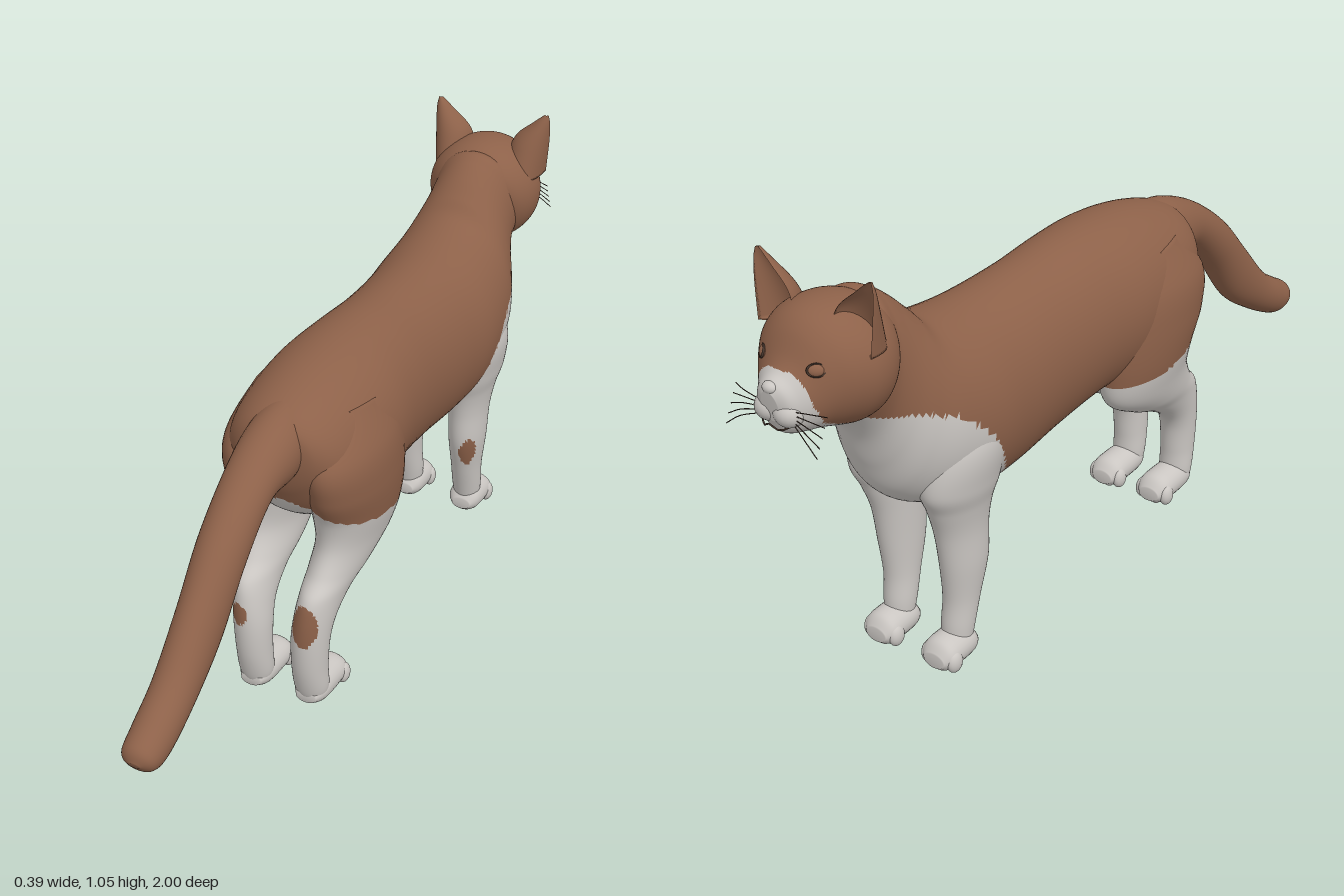
import * as THREE from 'three';

const mat = (name, color) => {
  const m = new THREE.MeshStandardMaterial({ color });
  m.name = name;
  return m;
};
const brown = mat('brown fur', 0x8d6149);
const white = mat('white fur', 0xcac6c2);
const dark = mat('dark lines', 0x45352c);

// Height under which the coat is white, as [z, y] steps from nose to rump
const coatLine = [[-1, .87], [-.955, .865], [-.945, .8], [-.92, .755], [-.88, .735], [-.8, .705],
  [-.7, .69], [-.62, .665], [-.55, .61], [-.5, .55], [-.46, .48], [-.43, .43], [-.2, .455],
  [-.1, .465], [0, .45], [.1, .455], [.2, .475], [.35, .49], [1.1, .49]];
// Brown spots on the legs: centre and radii
const spots = [[.078, .255, .4, .034, .055, .045], [-.088, .24, .4, .022, .028, .04],
  [.125, .215, -.475, .035, .058, .028], [-.125, .21, -.475, .035, .052, .028]];

function isBrown(x, y, z) {
  const k = Math.max(1, coatLine.findIndex(p => p[0] > z));
  const [a, b] = [coatLine[k - 1], coatLine[k]];
  let limit = a[1] + (b[1] - a[1]) * (z - a[0]) / (b[0] - a[0]);
  if (z > .2) limit += .07 * (1 - Math.abs(x) / .19) * Math.min(1, (z - .2) / .1);
  return y > limit ||
    spots.some(s => ((x - s[0]) / s[3]) ** 2 + ((y - s[1]) / s[4]) ** 2 + ((z - s[2]) / s[5]) ** 2 < 1);
}

// Loft through oval rings. Each row is [z1, y1, z2, y2, halfWidth, x]: the two
// opposite profile points of the ring, its half width and its sideways centre.
function loft(name, rows, { side = 1, seg = 40, sub = 8, dent = false, coat = isBrown } = {}) {
  const at = (i, c) => rows[Math.min(rows.length - 1, Math.max(0, i))][c] || 0;
  const smooth = (i, t, c) => {
    const p0 = at(i - 1, c), p1 = at(i, c), p2 = at(i + 1, c), p3 = at(i + 2, c);
    return p1 + .5 * t * (p2 - p0 + t * (2 * p0 - 5 * p1 + 4 * p2 - p3 + t * (3 * (p1 - p2) + p3 - p0)));
  };
  const pos = [], rings = (rows.length - 1) * sub;
  for (let j = 0; j <= rings; j++) {
    const i = Math.min(Math.floor(j / sub), rows.length - 2), t = j / sub - i;
    const [z1, y1, z2, y2, w, x] = [0, 1, 2, 3, 4, 5].map(c => smooth(i, t, c));
    for (let k = 0; k < seg; k++) {
      const a = k / seg * Math.PI * 2;
      let s = Math.sin(a);
      if (dent) s = s < 0 ? 1 + 2 * s : 1 - 1.4 * s;
      pos.push(x * side + Math.max(w, .001) * Math.cos(a),
        (y1 + y2) / 2 + (y1 - y2) / 2 * s, (z1 + z2) / 2 + (z1 - z2) / 2 * s);
    }
  }
  const faces = [[], []];
  const add = (...f) => {
    const c = [0, 1, 2].map(d => f.reduce((sum, v) => sum + pos[v * 3 + d], 0) / 3);
    faces[coat(...c) ? 0 : 1].push(...f);
  };
  for (let j = 0; j < rings; j++) {
    for (let k = 0; k < seg; k++) {
      const n = (k + 1) % seg, a = j * seg + k, b = j * seg + n;
      add(a, a + seg, b + seg);
      add(a, b + seg, b);
    }
  }
  // Closed ends
  const first = pos.length / 3;
  for (const j of [0, rings]) {
    const mid = [0, 1, 2].map(d => {
      let sum = 0;
      for (let k = 0; k < seg; k++) sum += pos[(j * seg + k) * 3 + d];
      return sum / seg;
    });
    pos.push(...mid);
  }
  for (let k = 0; k < seg; k++) {
    const n = (k + 1) % seg;
    add(first, k, n);
    add(first + 1, rings * seg + n, rings * seg + k);
  }
  const g = new THREE.BufferGeometry();
  g.setAttribute('position', new THREE.Float32BufferAttribute(pos, 3));
  g.setIndex([...faces[0], ...faces[1]]);
  g.addGroup(0, faces[0].length, 0);
  g.addGroup(faces[0].length, faces[1].length, 1);
  g.computeVertexNormals();
  const mesh = new THREE.Mesh(g, [brown, white]);
  mesh.name = name;
  return mesh;
}

function ball(name, material, x, y, z, rx, ry, rz) {
  const m = new THREE.Mesh(new THREE.SphereGeometry(1, 20, 14), material);
  m.name = name;
  m.position.set(x, y, z);
  m.scale.set(rx, ry, rz);
  return m;
}

function line(name, points, radius) {
  const curve = new THREE.CatmullRomCurve3(points.map(p => new THREE.Vector3(...p)));
  const m = new THREE.Mesh(new THREE.TubeGeometry(curve, 10, radius, 5), dark);
  m.name = name;
  return m;
}

const torso = [[.385, .72, .38, .64, .04], [.37, .77, .36, .58, .1], [.31, .8, .31, .5, .145],
  [.2, .825, .2, .44, .17], [.08, .835, .08, .42, .177], [-.05, .833, -.05, .41, .166],
  [-.2, .82, -.2, .39, .16], [-.36, .813, -.36, .37, .168], [-.48, .818, -.48, .375, .178],
  [-.575, .84, -.62, .41, .168], [-.62, .88, -.7, .47, .145], [-.66, .918, -.735, .55, .124],
  [-.7, .947, -.76, .63, .113], [-.74, .96, -.8, .69, .113], [-.8, .93, -.84, .72, .09]];
const head = [[-.69, .9, -.74, .76, .07], [-.72, .94, -.76, .72, .115], [-.77, .966, -.79, .7, .14],
  [-.83, .972, -.83, .7, .146], [-.88, .962, -.87, .71, .13], [-.915, .935, -.9, .718, .107],
  [-.945, .885, -.93, .722, .08], [-.965, .862, -.955, .727, .06], [-.985, .848, -.972, .74, .043],
  [-.995, .832, -.984, .765, .022]];
const tail = [[.998, .305, .99, .288, .014], [.985, .335, .965, .262, .04], [.93, .367, .915, .262, .048],
  [.85, .42, .8, .32, .05], [.74, .535, .69, .395, .053], [.63, .645, .585, .525, .057],
  [.5, .735, .475, .618, .06], [.38, .785, .38, .62, .07], [.28, .8, .3, .64, .06]];
const ear = [[-.85, 1.045, -.842, 1.045, .005, .146], [-.852, 1.02, -.828, 1.02, .022, .134],
  [-.856, .97, -.8, .965, .047, .108], [-.86, .89, -.77, .88, .053, .096]];
const hindLeg = [[.03, .74, .27, .76, .05, .09], [0, .66, .36, .66, .084, .1], [-.01, .57, .355, .57, .09, .103],
  [-.008, .47, .32, .49, .085, .1], [.015, .39, .315, .42, .07, .097], [.1, .335, .345, .36, .06, .09],
  [.19, .295, .385, .32, .05, .085], [.265, .25, .4, .27, .046, .08], [.3, .2, .405, .2, .045, .075],
  [.31, .12, .4, .12, .043, .073], [.31, .06, .385, .05, .042, .073], [.32, .02, .37, .015, .03, .073]];
const frontLeg = [[-.61, .66, -.44, .68, .05, .085], [-.65, .56, -.42, .56, .07, .105],
  [-.665, .47, -.435, .46, .066, .1], [-.64, .41, -.455, .4, .056, .094], [-.615, .34, -.465, .34, .05, .09],
  [-.6, .25, -.47, .25, .047, .09], [-.59, .16, -.495, .16, .04, .087], [-.595, .09, -.515, .09, .038, .085],
  [-.595, .04, -.53, .035, .033, .085]];
// Paw rings from heel to toe, measured from the toe tip
const paw = [[.15, .05, .15, .02, .025], [.12, .08, .12, .004, .042], [.06, .082, .06, 0, .046],
  [.022, .074, .022, .002, .044], [0, .05, 0, .015, .028]];

export function createModel() {
  const cat = new THREE.Group();
  cat.name = 'cat';
  cat.add(
    loft('torso', torso, { seg: 72, sub: 10 }),
    loft('head', head, { seg: 72, sub: 8 }),
    loft('tail', tail, { coat: () => true }),
    ball('nose', white, 0, .838, -.984, .018, .013, .014),
    line('mouth', [[-.042, .762, -.972], [-.02, .752, -.988], [0, .763, -.994], [.02, .752, -.988], [.042, .762, -.972]], .002));

  for (const side of [1, -1]) {
    const label = side > 0 ? 'left' : 'right';
    cat.add(
      loft(label + 'Ear', ear, { side, dent: true, coat: () => true }),
      loft(label + 'HindLeg', hindLeg, { side, seg: 48 }),
      loft(label + 'FrontLeg', frontLeg, { side, seg: 48 }),
      ball(label + 'MuzzlePad', white, side * .025, .782, -.963, .034, .03, .031));

    // Paws with four toes
    for (const [name, x, toeZ, length] of [['HindPaw', .073, .223, 1.05], ['FrontPaw', .085, -.645, .85]]) {
      const rows = paw.map(r => [toeZ + r[0] * length, r[1], toeZ + r[2] * length, r[3], r[4], x]);
      cat.add(loft(label + name, rows, { side, seg: 28, sub: 6 }));
      for (let i = 0; i < 4; i++) {
        const o = i - 1.5;
        cat.add(ball(label + name + 'Toe', white, side * x + o * .024, .03,
          toeZ + .018 + Math.abs(o) * .008, .016, .027, .022));
      }
    }

    // Eye with a fine lid line
    const eye = new THREE.Group();
    eye.name = label + 'Eye';
    const lid = new THREE.Mesh(new THREE.TorusGeometry(.018, .0025, 6, 28), dark);
    lid.name = 'lid';
    lid.scale.y = .72;
    lid.position.z = .003;
    eye.add(ball('eyeball', brown, 0, 0, 0, .018, .013, .009), lid);
    eye.position.set(side * .07, .872, -.927);
    eye.lookAt(side * .72, 1.22, -1.63);
    cat.add(eye);

    // Whiskers
    for (let i = 0; i < 5; i++) {
      const t = i / 4 - .5;
      cat.add(line(label + 'Whisker', [[side * .045, .778 + t * .03, -.972],
        [side * .085, .776 + t * .05, -.98 + t * .015], [side * .122, .762 + t * .075, -.976 + t * .035]], .0011));
    }
  }
  return cat;
}
